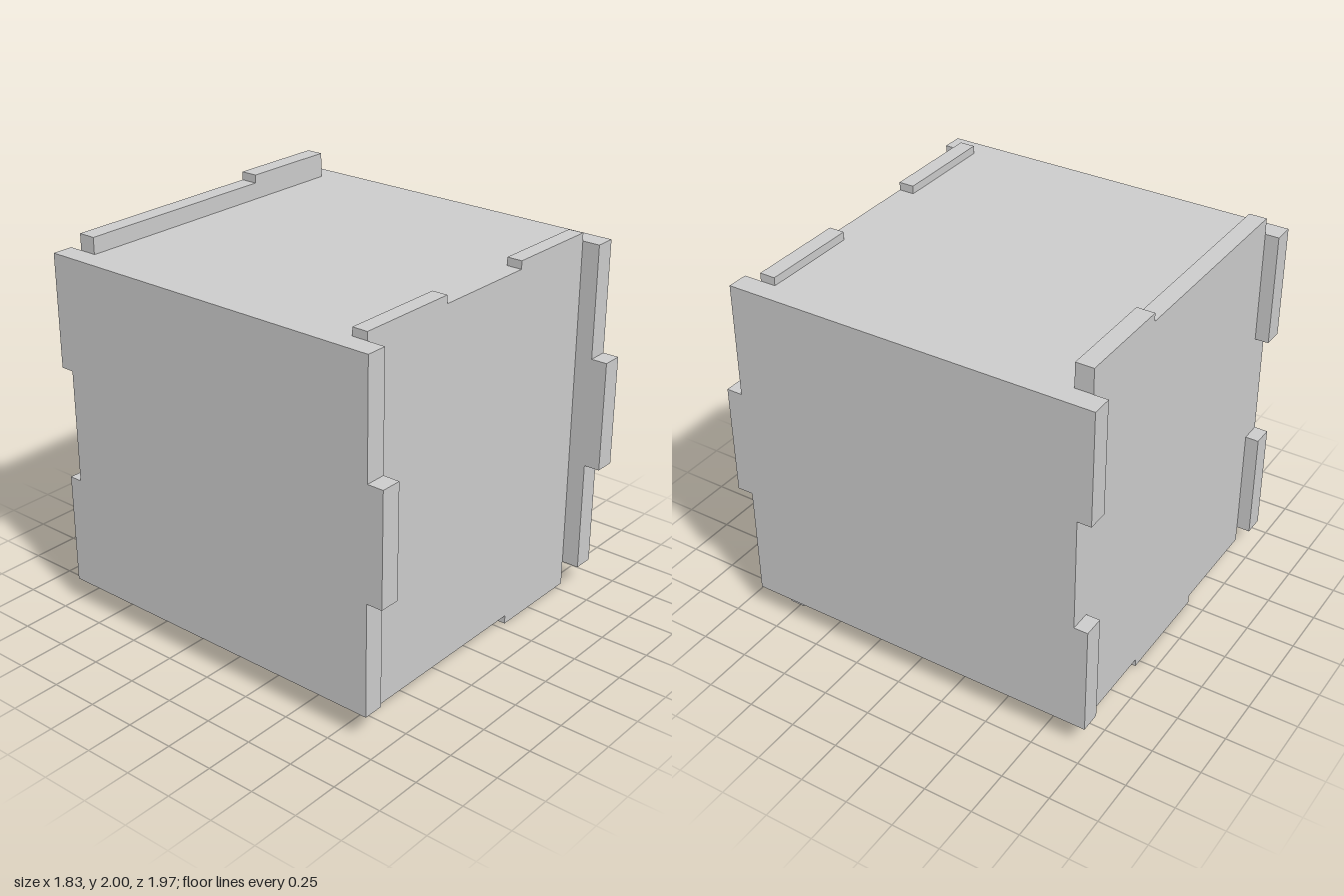
import * as THREE from 'three';

const material = new THREE.MeshStandardMaterial({ color: 0xcccccc, flatShading: true });
const BOTTOM = 0.13, TOP = 1.875;   // side panels and lids
const INNER = 0.807, OUTER = 0.914; // side panel faces in x
const TAB_L = -0.265, TAB_R = 0.296; // joint positions along the front and back

// Flat panel cut from an outline, with its thickness along +z
function panel(name, outline, thickness) {
  const shape = new THREE.Shape(outline.map(([x, y]) => new THREE.Vector2(x, y)));
  const geometry = new THREE.ExtrudeGeometry(shape, { depth: thickness, bevelEnabled: false });
  const mesh = new THREE.Mesh(geometry, material);
  mesh.name = name;
  return mesh;
}

export function createModel() {
  const group = new THREE.Group();
  group.name = 'tabbedBox';

  // Closed body between the four upright panels; its ends are the lid and floor
  const body = new THREE.Mesh(new THREE.BoxGeometry(2 * INNER, TOP - BOTTOM, 1.55), material);
  body.name = 'body';
  body.position.set(0, (TOP + BOTTOM) / 2, -0.045);
  group.add(body);

  // Front panel: two tabs on top, one lowered corner
  const front = panel('frontPanel', [
    [-INNER, 0.045], [TAB_R, 0.045], [TAB_R, 0], [INNER, 0],
    [INNER, 1.916], [TAB_R, 1.916], [TAB_R, TOP], [TAB_L, TOP],
    [TAB_L, 1.916], [-INNER, 1.916],
  ], 0.08);
  front.position.z = 0.728;
  group.add(front);

  // Back panel: one bottom tab, raised top corner
  const back = panel('backPanel', [
    [-INNER, 0.045], [TAB_L, 0.045], [TAB_L, 0.003], [TAB_R, 0.003],
    [TAB_R, 0.045], [INNER, 0.045], [INNER, 2], [TAB_R, 2],
    [TAB_R, 1.958], [-INNER, 1.958],
  ], 0.09);
  back.position.z = -0.912;
  group.add(back);

  // Side panels (outline in z, y): middle tab in front, upper and lower tabs behind
  const sideOutline = [
    [-0.982, BOTTOM], [0.9, BOTTOM], [0.9, 0.715], [0.984, 0.715],
    [0.984, 1.292], [0.9, 1.292], [0.9, TOP], [-0.982, TOP],
    [-0.982, 1.296], [-0.912, 1.296], [-0.912, 0.71], [-0.982, 0.71],
  ].map(([z, y]) => [-z, y]);
  for (const [name, x] of [['leftPanel', INNER], ['rightPanel', -OUTER]]) {
    const side = panel(name, sideOutline, OUTER - INNER);
    side.rotation.y = Math.PI / 2;
    side.position.x = x;
    group.add(side);
  }
  return group;
}
